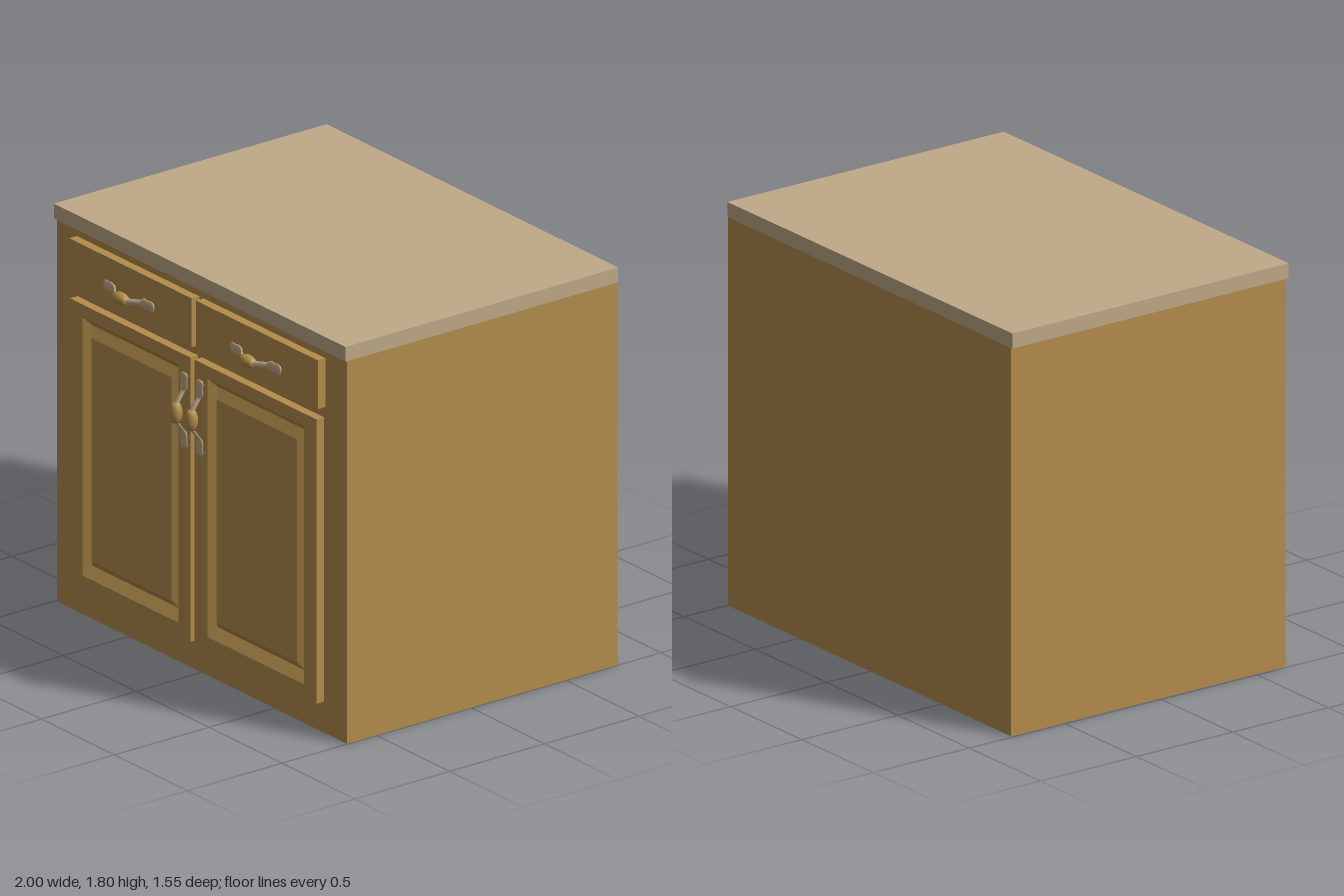
import * as THREE from 'three';

const wood = new THREE.MeshStandardMaterial({ color: 0xb58d4c });
wood.name = 'wood';
const stone = new THREE.MeshStandardMaterial({ color: 0xc0aa88 });
stone.name = 'beige stone';

const FACE_Z = 0.695; // front of doors and drawers
const BODY_Z = 0.655; // front of the cabinet body

// Box given by its minimum and maximum corners
function box(name, min, max, material) {
  const size = max.map((v, i) => v - min[i]);
  const mesh = new THREE.Mesh(new THREE.BoxGeometry(...size), material);
  mesh.position.set(...max.map((v, i) => (v + min[i]) / 2));
  mesh.name = name;
  return mesh;
}

// Raised-panel door: nested rectangles [x0, x1, y0, y1, z] joined from back edge to centre
function door(name, x0, x1, px0, px1) {
  const y0 = 0.14, y1 = 1.425;
  const rings = [
    [x0, x1, y0, y1, BODY_Z],
    [x0, x1, y0, y1, FACE_Z],
    [px0, px1, 0.2, 1.368, FACE_Z],
    [px0 + 0.028, px1 - 0.028, 0.245, 1.332, 0.662],
    [px0 + 0.055, px1 - 0.055, 0.28, 1.288, 0.688],
  ].map(([a, b, c, d, z]) => [[a, c, z], [b, c, z], [b, d, z], [a, d, z]]);
  const points = [];
  const quad = (a, b, c, d) => points.push(...a, ...b, ...c, ...a, ...c, ...d);
  for (let k = 0; k < rings.length - 1; k++) {
    for (let j = 0; j < 4; j++) {
      const n = (j + 1) % 4;
      quad(rings[k][j], rings[k][n], rings[k + 1][n], rings[k + 1][j]);
    }
  }
  quad(...rings[rings.length - 1]);
  const geometry = new THREE.BufferGeometry();
  geometry.setAttribute('position', new THREE.Float32BufferAttribute(points, 3));
  geometry.computeVertexNormals();
  const mesh = new THREE.Mesh(geometry, wood);
  mesh.name = name;
  return mesh;
}

// Handle arm lofted along x through oval sections [x, z, half width, half thickness]
function armGeometry() {
  const sections = [
    [0.03, 0.05, 0.017, 0.009],
    [0.045, 0.046, 0.014, 0.008],
    [0.088, 0.014, 0.014, 0.007],
    [0.096, 0.009, 0.02, 0.008],
    [0.115, 0.008, 0.026, 0.008],
    [0.135, 0.007, 0.022, 0.007],
    [0.155, 0.007, 0.026, 0.007],
    [0.168, 0.006, 0.02, 0.006],
    [0.171, 0.006, 0, 0],
  ];
  const sides = 10, points = [], index = [];
  sections.forEach(([x, z, w, t], i) => {
    for (let j = 0; j < sides; j++) {
      const angle = (j / sides) * Math.PI * 2;
      points.push(x, Math.cos(angle) * w, z + Math.sin(angle) * t);
      if (i === sections.length - 1) continue;
      const a = i * sides + j, c = i * sides + (j + 1) % sides;
      index.push(a, c, a + sides, a + sides, c, c + sides);
    }
  });
  const geometry = new THREE.BufferGeometry();
  geometry.setAttribute('position', new THREE.Float32BufferAttribute(points, 3));
  geometry.setIndex(index);
  geometry.computeVertexNormals();
  return geometry;
}

// Bow handle: two arms with flared pads and a turned wooden grip
function handle(name, x, y, vertical) {
  const group = new THREE.Group();
  group.name = name;
  const arm = armGeometry();
  for (const turn of [0, Math.PI]) {
    const mesh = new THREE.Mesh(arm, stone);
    mesh.name = 'handleArm';
    mesh.rotation.z = turn;
    group.add(mesh);
  }
  const profile = [[0, -0.044], [0.016, -0.044], [0.022, -0.03], [0.027, -0.012], [0.027, 0.012],
    [0.022, 0.03], [0.016, 0.044], [0, 0.044]].map(([r, h]) => new THREE.Vector2(r, h));
  const grip = new THREE.Mesh(new THREE.LatheGeometry(profile, 14), wood);
  grip.name = 'handleGrip';
  grip.rotation.z = Math.PI / 2;
  grip.position.z = 0.049;
  group.add(grip);
  group.position.set(x, y, FACE_Z);
  if (vertical) group.rotation.z = Math.PI / 2;
  return group;
}

export function createModel() {
  const model = new THREE.Group();
  model.name = 'cabinet';

  // Carcass and worktop
  model.add(box('body', [-0.99, 0, -0.773], [0.997, 1.73, BODY_Z], wood));
  model.add(box('worktop', [-1, 1.73, -0.775], [1, 1.797, 0.665], stone));

  // Drawer fronts
  model.add(box('rightDrawer', [-0.855, 1.475, BODY_Z], [-0.015, 1.695, FACE_Z], wood));
  model.add(box('leftDrawer', [0.015, 1.475, BODY_Z], [0.85, 1.695, FACE_Z], wood));

  // Doors
  model.add(door('rightDoor', -0.85, -0.025, -0.765, -0.107));
  model.add(door('leftDoor', 0.005, 0.84, 0.092, 0.753));

  // Handles
  model.add(handle('rightDrawerHandle', -0.438, 1.57, false));
  model.add(handle('leftDrawerHandle', 0.432, 1.57, false));
  model.add(handle('rightDoorHandle', -0.059, 1.178, true));
  model.add(handle('leftDoorHandle', 0.048, 1.178, true));
  return model;
}
